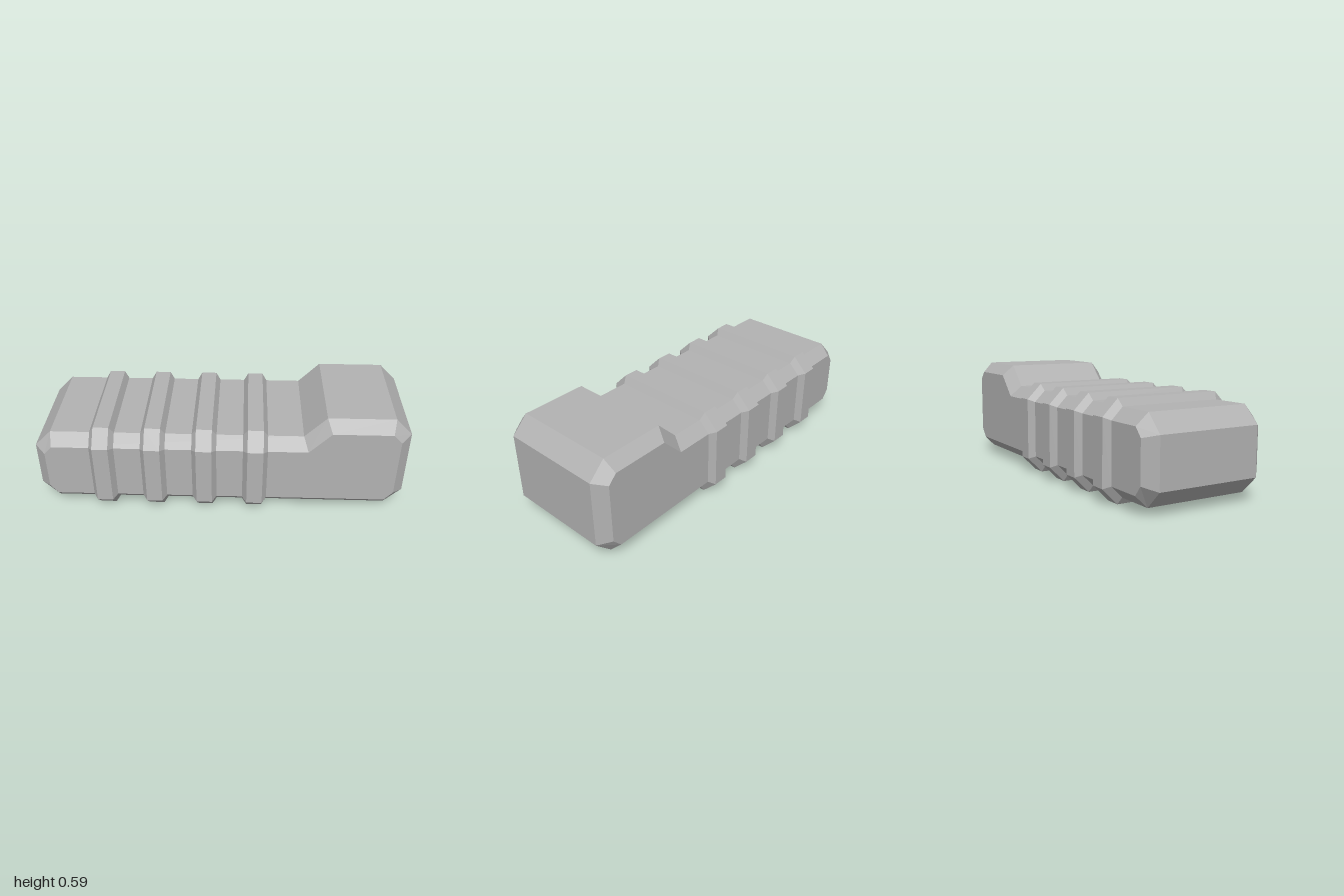
import * as THREE from 'three';

// Joins matching counter-clockwise outlines stacked along +z, with flat end caps
function loft(sections) {
  const pos = [];
  const n = sections[0].points.length;
  const add = (s, i) => pos.push(...s.points[i % n], s.z);
  for (let k = 0; k < sections.length - 1; k++) {
    const a = sections[k], b = sections[k + 1];
    for (let i = 0; i < n; i++) {
      add(a, i); add(a, i + 1); add(b, i + 1);
      add(a, i); add(b, i + 1); add(b, i);
    }
  }
  const first = sections[0], last = sections[sections.length - 1];
  const outline = last.points.map(([x, y]) => new THREE.Vector2(x, y));
  for (const [a, b, c] of THREE.ShapeUtils.triangulateShape(outline, [])) {
    add(last, a); add(last, b); add(last, c);
    add(first, c); add(first, b); add(first, a);
  }
  const geometry = new THREE.BufferGeometry();
  geometry.setAttribute('position', new THREE.Float32BufferAttribute(pos, 3));
  geometry.computeVertexNormals();
  return geometry;
}

// Rectangle with cut corners
function octagon(w, y0, y1, c) {
  return [
    [-w + c, y0], [w - c, y0], [w, y0 + c], [w, y1 - c],
    [w - c, y1], [-w + c, y1], [-w, y1 - c], [-w, y0 + c],
  ];
}

export function createModel() {
  const group = new THREE.Group();
  const grey = new THREE.MeshStandardMaterial({ color: 0xb2b2b2 });
  grey.name = 'plain grey';

  // Grip body with a raised block at one end and bevelled sides
  const outer = [
    [-0.91, 0.037], [0.91, 0.037], [1, 0.127], [1, 0.5], [0.91, 0.59],
    [0.555, 0.59], [0.44, 0.472], [-0.91, 0.472], [-1, 0.382], [-1, 0.127],
  ];
  const inner = [
    [-0.9, 0.098], [0.895, 0.098], [0.941, 0.15], [0.941, 0.483], [0.895, 0.53],
    [0.58, 0.53], [0.464, 0.411], [-0.9, 0.411], [-0.941, 0.365], [-0.941, 0.15],
  ];
  const body = new THREE.Mesh(loft([
    { points: inner, z: -0.342 },
    { points: outer, z: -0.281 },
    { points: outer, z: 0.281 },
    { points: inner, z: 0.342 },
  ]), grey);
  body.name = 'gripBody';
  group.add(body);

  // Four raised ribs wrapped around the body
  const ribBase = octagon(0.342, 0.037, 0.472, 0.061);
  const ribCrest = octagon(0.377, 0, 0.51, 0.084);
  const ribGeometry = loft([
    { points: ribBase, z: -0.066 },
    { points: ribCrest, z: -0.042 },
    { points: ribCrest, z: 0.042 },
    { points: ribBase, z: 0.066 },
  ]).rotateY(Math.PI / 2);
  for (let i = 0; i < 4; i++) {
    const rib = new THREE.Mesh(ribGeometry, grey);
    rib.name = `gripRib${i + 1}`;
    rib.position.x = -0.634 + i * 0.273;
    group.add(rib);
  }
  return group;
}
